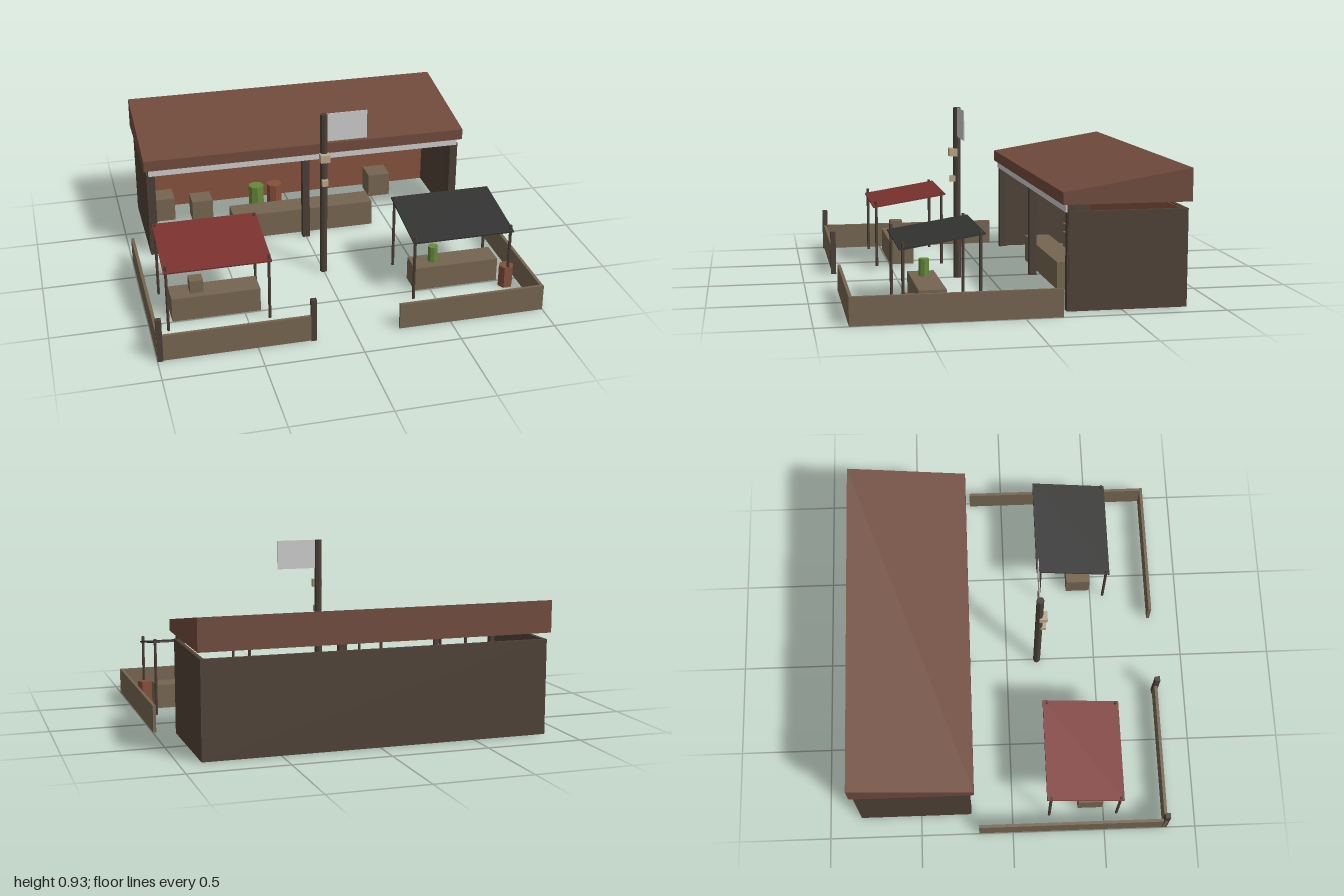
import * as THREE from 'three';

const mat = (color, extra = {}) => new THREE.MeshStandardMaterial({ color, flatShading: true, ...extra });

export function createModel() {
  const root = new THREE.Group();
  const wood = mat(0x756550), dark = mat(0x4f4135), post = mat(0x4a3f36), panel = mat(0x85533d);
  const roofMat = mat(0x704a3c), red = mat(0x7a322e), black = mat(0x333332);
  const green = mat(0x66883a), clay = mat(0x85503a), cream = mat(0xb8a888);
  const grey = mat(0xcccccc, { side: THREE.DoubleSide });

  const add = (name, geo, material, x, y, z) => {
    const m = new THREE.Mesh(geo, material);
    m.name = name;
    m.position.set(x, y, z);
    root.add(m);
    return m;
  };
  // Box given by its min and max along each axis
  const box = (name, material, x0, x1, y0, y1, z0, z1) =>
    add(name, new THREE.BoxGeometry(x1 - x0, y1 - y0, z1 - z0), material,
      (x0 + x1) / 2, (y0 + y1) / 2, (z0 + z1) / 2);
  // Upright cylinder standing on y0
  const drum = (name, material, x, z, r, y0, y1, sides = 8) =>
    add(name, new THREE.CylinderGeometry(r, r, y1 - y0, sides), material, x, (y0 + y1) / 2, z);

  // Open-fronted shed
  box('backWall', dark, -0.89, 0.89, 0, 0.49, -0.83, -0.81);
  box('innerPanel', panel, -0.87, 0.87, 0, 0.485, -0.81, -0.803);
  for (const s of [-1, 1]) {
    const a = s * 0.89, b = s * 0.87;
    box('sideWall', dark, Math.min(a, b), Math.max(a, b), 0, 0.49, -0.83, -0.23);
  }
  for (const x of [-0.865, 0, 0.865])
    box('shedPost', post, x - 0.02, x + 0.02, 0, 0.49, -0.265, -0.225);
  box('frontBeam', post, -0.88, 0.88, 0.485, 0.525, -0.265, -0.225);
  box('beamStrip', grey, -0.88, 0.88, 0.485, 0.525, -0.225, -0.217);

  // Sloping solid roof, profile drawn in (-z, y) and extruded along x
  const profile = new THREE.Shape([[0.2, 0.525], [0.845, 0.525], [0.845, 0.69], [0.2, 0.585]]
    .map(([u, v]) => new THREE.Vector2(u, v)));
  const roofGeo = new THREE.ExtrudeGeometry(profile, { depth: 1.81, bevelEnabled: false });
  roofGeo.translate(0, 0, -0.905).rotateY(Math.PI / 2);
  add('roof', roofGeo, roofMat, 0, 0, 0);

  // Goods inside the shed
  box('counter', wood, -0.405, 0.405, 0, 0.145, -0.43, -0.29);
  for (const [x, z, w] of [[-0.76, -0.68, 0.13], [-0.54, -0.62, 0.12], [0.55, -0.7, 0.13]])
    box('crate', wood, x - w / 2, x + w / 2, 0, w + 0.008, z - w / 2, z + w / 2);
  drum('greenBarrel', green, -0.2, -0.67, 0.045, 0, 0.14);
  drum('clayBarrel', clay, -0.09, -0.67, 0.045, 0, 0.14);

  // Low yard fence
  for (const s of [-1, 1])
    box('sideFence', wood, s * 0.99 - 0.008, s * 0.99 + 0.008, 0, 0.14, -0.185, 0.835);
  box('frontFence', wood, -1, -0.21, 0, 0.14, 0.82, 0.836);
  box('frontFence', wood, 0.23, 1, 0, 0.14, 0.82, 0.836);
  for (const x of [-0.985, -0.217])
    box('fencePost', post, x - 0.014, x + 0.014, 0, 0.232, 0.815, 0.843);

  // Market stalls with tilted awnings
  for (const [s, cloth] of [[-1, red], [1, black]]) {
    const cx = s * 0.646;
    const awning = add('awning', new THREE.BoxGeometry(0.548, 0.008, 0.416), cloth, cx, 0.37, 0.385);
    awning.rotation.x = Math.atan2(0.065, 0.41);
    for (const dx of [-0.261, 0.261]) {
      drum('awningPost', post, cx + dx, 0.573, 0.008, 0, 0.37, 6);
      drum('awningPost', post, cx + dx, 0.202, 0.008, 0, 0.415, 6);
    }
    box('stallTable', wood, cx - 0.23, cx + 0.23, 0, 0.13, 0.36, 0.495);
  }
  box('smallCrate', wood, -0.775, -0.705, 0.13, 0.2, 0.39, 0.46);
  drum('greenJar', green, 0.535, 0.425, 0.027, 0.13, 0.217);
  drum('clayPot', clay, 0.905, 0.55, 0.04, 0, 0.12, 6).rotation.y = Math.PI / 6;

  // Central mast with boxes and a plain flag
  drum('mast', post, 0, 0.172, 0.02, 0, 0.925);
  box('mastBox', cream, -0.025, 0.025, 0.665, 0.707, 0.172, 0.215);
  box('mastBox', cream, -0.016, 0.016, 0.527, 0.56, 0.18, 0.211);
  box('flag', grey, 0.015, 0.232, 0.77, 0.926, 0.169, 0.173);

  return root;
}
